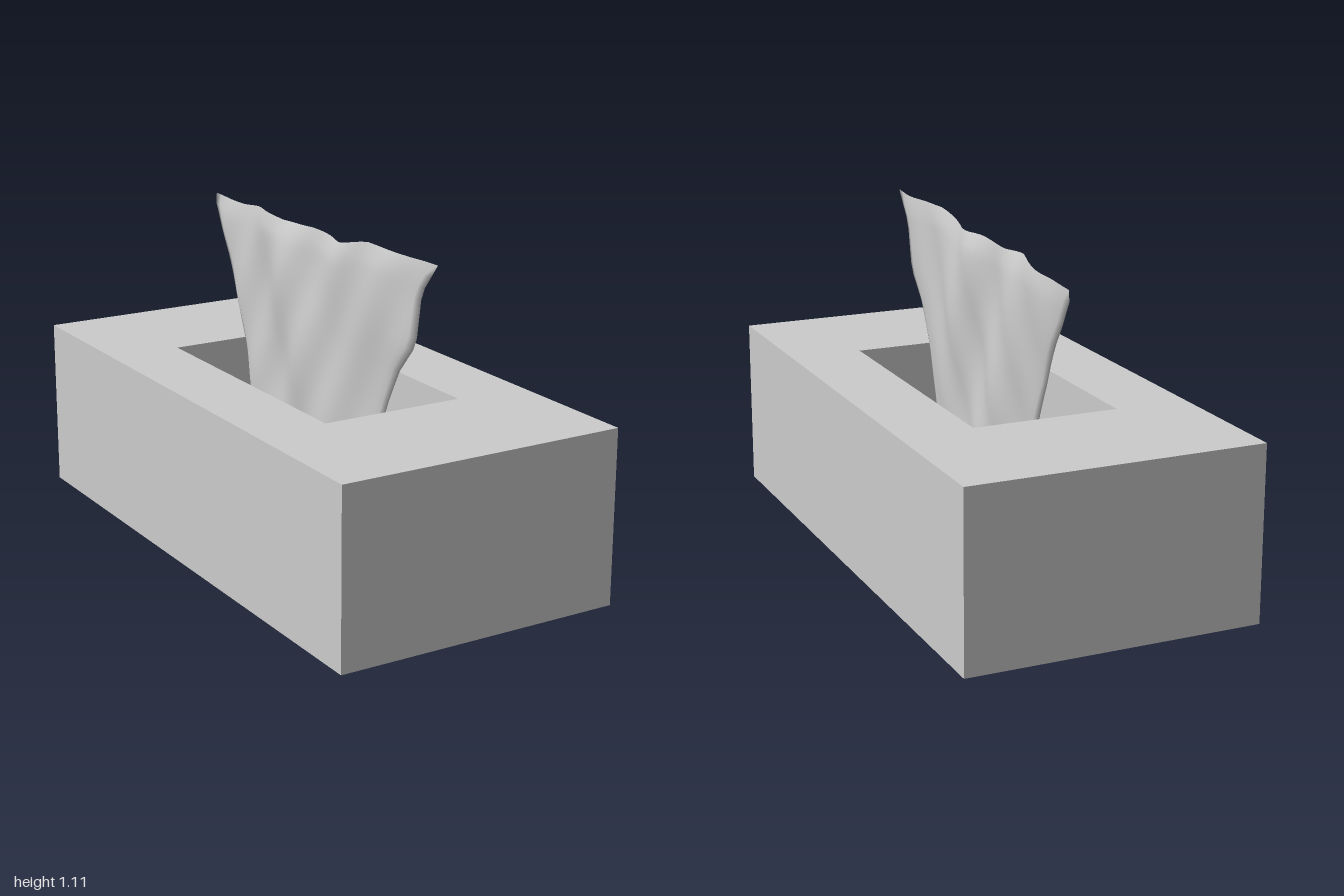
import * as THREE from 'three';

const grey = (opts = {}) => new THREE.MeshStandardMaterial({ color: 0xcccccc, ...opts });

const WIDTH = 1, DEPTH = 2, HEIGHT = 0.59, WALL = 0.04;

function box(name, w, h, d, x, y, z) {
  const mesh = new THREE.Mesh(new THREE.BoxGeometry(w, h, d), grey());
  mesh.name = name;
  mesh.position.set(x, y, z);
  return mesh;
}

// Rectangular ring in the xz plane, extruded upwards from y
function ring(name, w, d, holeW, holeD, h, y) {
  const rect = (T, a, b) => new T([[-a, -b], [a, -b], [a, b], [-a, b]]
    .map(([px, py]) => new THREE.Vector2(px / 2, py / 2)));
  const shape = rect(THREE.Shape, w, d);
  shape.holes.push(rect(THREE.Path, holeW, holeD));
  const geo = new THREE.ExtrudeGeometry(shape, { depth: h, bevelEnabled: false });
  geo.rotateX(-Math.PI / 2);
  const mesh = new THREE.Mesh(geo, grey());
  mesh.name = name;
  mesh.position.y = y;
  return mesh;
}

// Linear interpolation through [key, value] pairs sorted by key
function lerpPairs(pairs, k) {
  let i = 1;
  while (i < pairs.length - 1 && k > pairs[i][0]) i++;
  const [a, va] = pairs[i - 1], [b, vb] = pairs[i];
  return THREE.MathUtils.lerp(va, vb, THREE.MathUtils.clamp((k - a) / (b - a), 0, 1));
}

// Tissue outline: side edges by height, top edge by depth, lean by depth
const frontEdge = [[0.04, 0.36], [0.4, 0.41], [0.59, 0.47], [0.74, 0.55], [0.84, 0.63], [1.01, 0.65], [1.11, 0.735]];
const backEdge = [[0.04, -0.38], [0.4, -0.43], [0.59, -0.485], [0.69, -0.525], [0.92, -0.65], [1.07, -0.76]];
const topEdge = [[-0.76, 1.066], [-0.52, 1.067], [-0.36, 1.09], [-0.2, 1.076], [0, 1.086],
  [0.18, 1.072], [0.35, 1.11], [0.6, 1.104], [0.735, 1.11]];
const lean = [[-0.76, 0.055], [-0.5, 0.03], [-0.2, 0.008], [0.1, 0], [0.4, -0.01], [0.735, 0]];

// Thin closed pillow of cloth: one lens-shaped loop per height, crumpled by waves
function tissueGeometry(rows = 26, cols = 40) {
  const pos = [], index = [], n = cols * 2;
  for (let r = 0; r <= rows; r++) {
    const v = r / rows;
    for (let c = 0; c < n; c++) {
      const side = c < cols ? 1 : -1;
      const u = c < cols ? c / cols : 2 - c / cols;
      const yRow = 0.04 + 1.07 * v;
      const z = THREE.MathUtils.lerp(lerpPairs(backEdge, yRow), lerpPairs(frontEdge, yRow), u);
      const y = 0.04 + (lerpPairs(topEdge, z) - 0.04) * v;
      const lens = Math.pow(Math.sin(Math.PI * u), 0.5);
      const thick = 0.026 * lens * Math.sqrt(Math.max(0, 1 - Math.pow(v, 10)))
        * (1 + 0.25 * Math.sin(17 * z + 6 * y + side));
      const wave = 0.009 * Math.sin(11 * z + 7 * y) + 0.006 * Math.sin(23 * z - 13 * y + 1);
      pos.push(lerpPairs(lean, z) * (0.4 + 0.6 * v) + wave * (0.3 + 0.7 * lens) + side * thick, y, z);
    }
  }
  for (let r = 0; r < rows; r++) {
    for (let c = 0; c < n; c++) {
      const a = r * n + c, b = r * n + (c + 1) % n;
      index.push(a, a + n, b, b, a + n, b + n);
    }
  }
  const geo = new THREE.BufferGeometry();
  geo.setAttribute('position', new THREE.Float32BufferAttribute(pos, 3));
  geo.setIndex(index);
  geo.computeVertexNormals();
  return geo;
}

export function createModel() {
  const model = new THREE.Group();
  model.name = 'tissueBox';

  // Hollow carton: floor, four walls and a lid with a rectangular opening
  const carton = new THREE.Group();
  carton.name = 'carton';
  carton.add(box('floor', WIDTH, WALL, DEPTH, 0, WALL / 2, 0));
  carton.add(ring('walls', WIDTH, DEPTH, WIDTH - 2 * WALL, DEPTH - 2 * WALL, HEIGHT - 2 * WALL, WALL));
  carton.add(ring('lid', WIDTH, DEPTH, 0.5, 1, WALL, HEIGHT - WALL));
  model.add(carton);

  // Sheet of tissue standing in the opening
  const tissue = new THREE.Mesh(tissueGeometry(), grey({ side: THREE.DoubleSide }));
  tissue.name = 'tissue';
  model.add(tissue);

  return model;
}
